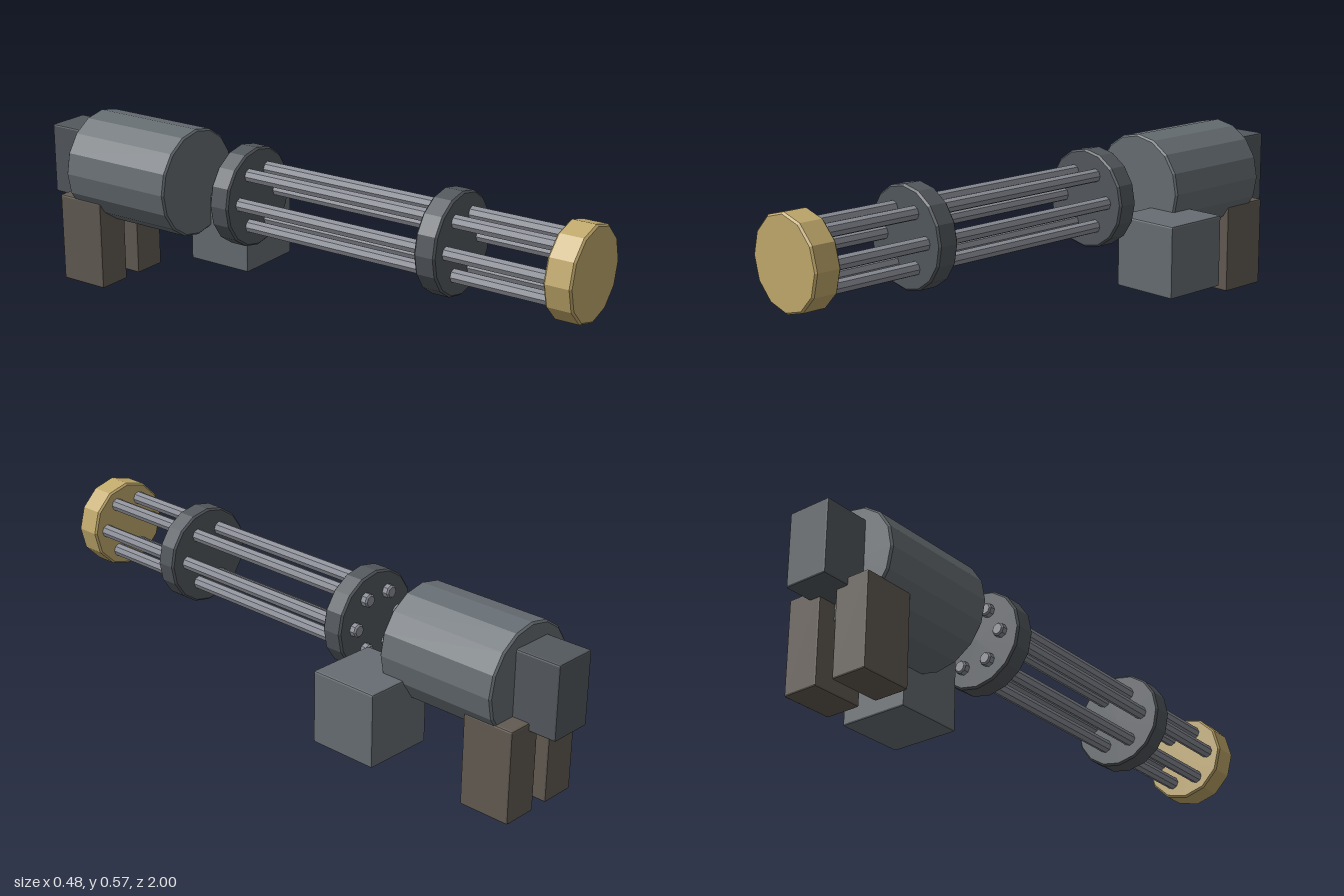
import * as THREE from 'three';
import { RoundedBoxGeometry } from 'three/addons/geometries/RoundedBoxGeometry.js';

const AXIS_X = -0.06, AXIS_Y = 0.393;

const material = (color) => new THREE.MeshStandardMaterial({ color, flatShading: true });
const steel = material(0x666d72);
const darkSteel = material(0x53585d);
const barrelMetal = material(0x8c8f98);
const brass = material(0xc2aa6c);
const grip = material(0x625a52);

export function createModel() {
  const model = new THREE.Group();
  model.name = 'rotaryGun';

  const add = (name, geometry, mat, x, y, z) => {
    const mesh = new THREE.Mesh(geometry, mat);
    mesh.name = name;
    mesh.position.set(x, y, z);
    model.add(mesh);
  };

  // Faceted cylinder along z with chamfered rims
  const drum = (name, mat, radius, z0, z1, sides, bevel, x = 0, y = 0) => {
    const h = (z1 - z0) / 2;
    const profile = [
      [0, -h], [radius - bevel, -h], [radius, -h + bevel],
      [radius, h - bevel], [radius - bevel, h], [0, h],
    ].map(([r, l]) => new THREE.Vector2(r, l));
    const geometry = new THREE.LatheGeometry(profile, sides).rotateX(Math.PI / 2);
    add(name, geometry, mat, AXIS_X + x, AXIS_Y + y, (z0 + z1) / 2);
  };

  // Box with slightly softened edges, given by its extents
  const block = (name, mat, [x0, x1], [y0, y1], [z0, z1]) => {
    const geometry = new RoundedBoxGeometry(x1 - x0, y1 - y0, z1 - z0, 1, 0.006);
    add(name, geometry, mat, (x0 + x1) / 2, (y0 + y1) / 2, (z0 + z1) / 2);
  };

  // Motor housing, barrel clamps and muzzle cap
  drum('housing', steel, 0.18, -0.848, -0.432, 16, 0.006);
  drum('rearClamp', darkSteel, 0.163, -0.256, -0.185, 16, 0.006);
  drum('frontClamp', darkSteel, 0.163, 0.498, 0.569, 16, 0.006);
  drum('muzzleCap', brass, 0.149, 0.912, 1, 12, 0.006);

  // Ring of six barrels
  for (let i = 0; i < 6; i++) {
    const a = (i * Math.PI) / 3;
    drum('barrel', barrelMetal, 0.022, -0.278, 0.93, 8, 0.005,
      0.097 * Math.cos(a), 0.097 * Math.sin(a));
  }

  // Ammunition box, rear block and two grips
  block('ammoBox', steel, [0, 0.24], [0.093, 0.333], [-0.517, -0.28]);
  block('rearBlock', darkSteel, [-0.135, 0.012], [0.275, 0.514], [-1, -0.83]);
  for (const side of [-1, 1]) {
    const x = AXIS_X + side * 0.09;
    block('grip', grip, [x - 0.06, x + 0.06], [0, 0.302], [-0.908, -0.732]);
  }

  return model;
}
